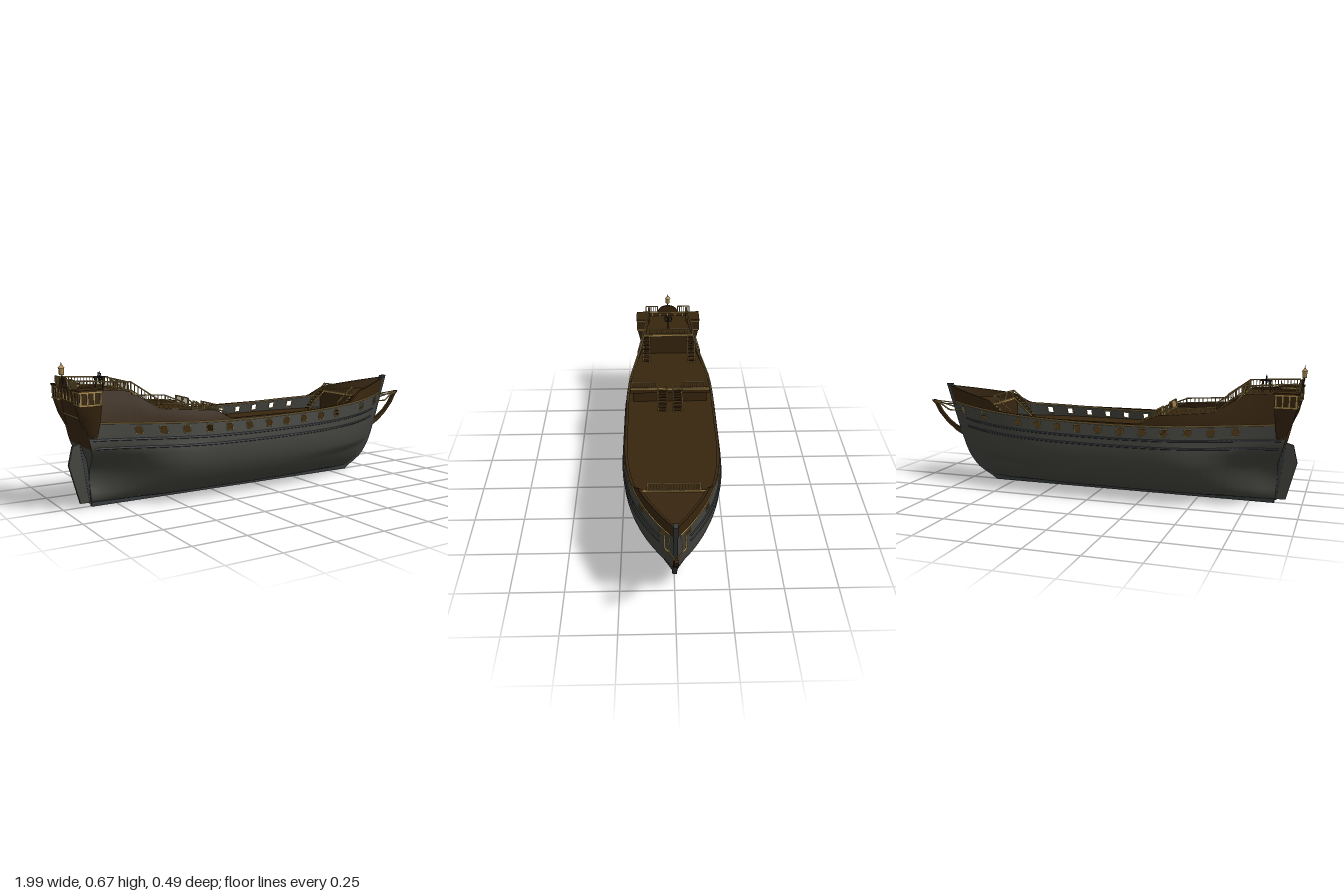
import * as THREE from 'three';

const mat = (name, color) => new THREE.MeshStandardMaterial({ name, color, side: THREE.DoubleSide });
const V = (x, y, z) => new THREE.Vector3(x, y, z);
const { lerp, clamp, smoothstep } = THREE.MathUtils;

// Value of a table [[x, value], ...] at x: straight, or smooth with Hermite slopes.
function table(pts, x, smooth = true) {
  const n = pts.length - 1;
  if (x <= pts[0][0]) return pts[0][1];
  if (x >= pts[n][0]) return pts[n][1];
  let i = 0;
  while (x > pts[i + 1][0]) i++;
  const [x0, a] = pts[i], [x1, b] = pts[i + 1], h = x1 - x0, s = (x - x0) / h;
  if (!smooth) return lerp(a, b, s);
  const slope = k => {
    const p = pts[Math.max(0, k - 1)], q = pts[Math.min(n, k + 1)];
    return (q[1] - p[1]) / (q[0] - p[0]);
  };
  const s2 = s * s, s3 = s2 * s;
  return (2 * s3 - 3 * s2 + 1) * a + (s3 - 2 * s2 + s) * h * slope(i)
    + (3 * s2 - 2 * s3) * b + (s3 - s2) * h * slope(i + 1);
}

// Hull lines: end profiles, midship section, stern taper, bulwark top
const STEM = [[0, .6], [.02, .63], [.06, .7], [.1, .738], [.15, .77], [.25, .808], [.35, .84], [.42, .862], [.51, .89]];
const STERN = [[0, -.875], [.2, -.885], [.28, -.91], [.58, -.978]];
const MID = [[.02, .04], [.03, .085], [.05, .13], [.08, .17], [.12, .203], [.16, .225], [.2, .238], [.25, .243],
  [.3, .24], [.35, .233], [.41, .224], [.46, .212], [.5, .2], [.58, .178]];
const TAPER = [[.02, .25], [.1, .07], [.18, .12], [.23, .36], [.27, .55], [.32, .61], [.6, .62]];
const TOP = [[-1, .555], [-.72, .535], [-.6, .45], [-.38, .432], [-.34, .43], [-.26, .385], [.48, .385], [.57, .45], [.9, .506]];
const PORTS = [-.7, -.59, -.485, -.375, -.27, -.16, -.05, .055, .16, .27, .38, .6, .77];
const SHEER = .375;

const tAt = (x, y) => clamp((x - table(STERN, y)) / (table(STEM, y) - table(STERN, y)), 0, 1);
function half(t, y) {
  const f = t > .55 ? 1 - Math.pow((t - .55) / .45, y < .15 ? 2.3 : 2.8) : 1;
  const s = smoothstep((.35 - t) / .35, 0, 1), k = clamp((.3 - y) / .1, 0, 1);
  return Math.max(.007, table(MID, y) * f * (1 - (1 - table(TAPER, y)) * Math.pow(s, 1 + k)));
}
const halfAt = (x, y) => half(tAt(x, y), y);
const levelY = (t, v) => v + .042 * Math.pow(Math.abs(t - .45) / .55, 1.6) * (v / .38) ** 2;
const skin = (t, y, side, out = 0) =>
  V(lerp(table(STERN, y), table(STEM, y), t), y, side * (half(t, y) + out));
const topY = t => table(TOP, -.95 + 1.82 * t, false);

// Surface through rows of points; skip(row, column) leaves openings.
function grid(rows, skip = () => false) {
  const g = new THREE.BufferGeometry(), n = rows[0].length, idx = [];
  g.setFromPoints(rows.flat());
  for (let r = 0; r < rows.length - 1; r++) for (let c = 0; c < n - 1; c++) {
    if (skip(r, c)) continue;
    const a = r * n + c, b = a + n;
    idx.push(a, a + 1, b, a + 1, b + 1, b);
  }
  g.setIndex(idx);
  g.computeVertexNormals();
  return g;
}

export function createModel() {
  const ship = new THREE.Group();
  const hullGrey = mat('hullGrey', 0x44443f), slate = mat('slate', 0x363a3c), wood = mat('darkWood', 0x38260f);
  const gold = mat('gold', 0xa88a4c), iron = mat('iron', 0x1c1a18);

  const add = (name, geo, m, x = 0, y = 0, z = 0) => {
    const o = new THREE.Mesh(geo, m);
    o.name = name;
    o.position.set(x, y, z);
    ship.add(o);
    return o;
  };
  const box = (name, w, h, d, m, x, y, z) => add(name, new THREE.BoxGeometry(w, h, d), m, x, y, z);
  const rod = (name, a, b, r, m, sides = 5) => {
    const d = b.clone().sub(a), o = add(name, new THREE.CylinderGeometry(r, r, d.length(), sides), m);
    o.position.copy(a).lerp(b, .5);
    o.quaternion.setFromUnitVectors(V(0, 1, 0), d.normalize());
    return o;
  };
  const tube = (name, pts, r, m, seg = 80) =>
    add(name, new THREE.TubeGeometry(new THREE.CatmullRomCurve3(pts), seg, r, 6), m);
  const plate = (name, pts, depth, m) => {
    const s = new THREE.Shape(pts.map(p => new THREE.Vector2(...p)));
    return add(name, new THREE.ExtrudeGeometry(s, { depth, bevelEnabled: false }), m, 0, 0, -depth / 2);
  };
  // Balustrade between two foot points
  const railing = (name, a, b, h, n) => {
    const up = V(0, h, 0);
    rod(name + 'Top', a.clone().add(up), b.clone().add(up), .0035, gold);
    rod(name + 'Foot', a, b, .0025, gold);
    for (let i = 0; i <= n; i++) {
      const p = a.clone().lerp(b, i / n);
      rod(name + 'Baluster', p, p.clone().add(up), i % n ? .002 : .0035, gold);
    }
  };

  // Columns of the hull, with extra ones at the gun port edges
  const portT = PORTS.map(x => [tAt(x - .015, .36), tAt(x + .015, .36)]);
  const cols = [...Array.from({ length: 101 }, (_, i) => i / 100), ...portT.flat()].sort((a, b) => a - b);
  const inPort = c => portT.some(([a, b]) => (cols[c] + cols[c + 1]) / 2 > a && (cols[c] + cols[c + 1]) / 2 < b);
  const levels = [.02, .025, .035, .05, .065, .08, .1, .12, .14, .16, .18, .2, .22, .24, .26, .28, .3, .332, .362, SHEER];
  const portRow = levels.indexOf(.332) + 1;

  for (const s of [1, -1]) {
    // Planked hull with open ports, and the wooden bulwark above it
    const rows = levels.map(v => cols.map(t => skin(t, levelY(t, v), s)));
    rows.unshift(rows[0].map(p => V(p.x, p.y, 0)));
    add('hullSide', grid(rows, (r, c) => r === portRow && inPort(c)), hullGrey);
    const edge = (t, k) => lerp(levelY(t, SHEER), Math.max(topY(t), levelY(t, SHEER) + .004), k);
    add('bulwark', grid([0, .33, .67, 1].map(k => cols.map(t => skin(t, edge(t, k), s)))), wood);
    add('bulwarkCap', grid([.004, -.01].map(o => cols.map(t => skin(t, edge(t, 1) + .001, s, o)))), wood);

    // Wales and gilded sheer rail
    const along = (t0, t1, v, o) => Array.from({ length: 41 }, (_, i) => {
      const t = lerp(t0, t1, i / 40);
      return skin(t, levelY(t, v), s, o);
    });
    tube('wale', along(.01, .95, .275, 0), .005, slate);
    tube('wale', along(.01, .95, .31, 0), .005, slate);
    tube('sheerRail', along(0, .985, SHEER, .001), .0035, gold);

    // Port frames
    for (const [a, b] of portT) {
      const q = [[a, .332], [b, .332], [b, .362], [a, .362]].map(([t, v]) => skin(t, levelY(t, v), s));
      q.forEach((p, i) => rod('portFrame', p, q[(i + 1) % 4], .0028, gold, 4));
    }

    // Side railings
    const at = (x, y, o = -.004) => V(x, y, s * (halfAt(x, y) + o));
    railing('poopRail', at(-.96, .552), at(-.72, .538), .036, 16);
    railing('poopStairRail', at(-.72, .538), at(-.605, .455), .036, 8);
    railing('quarterRail', at(-.605, .452), at(-.385, .435), .022, 10);
    railing('waistStairRail', at(-.385, .435), at(-.27, .388), .02, 7);
    railing('foreStairRail', V(.46, .355, s * .118), V(.56, .432, s * .118), .04, 7);
    railing('sternRail', V(-.972, .553, s * .06), V(-.972, .553, s * .128), .038, 6);

    // Quarter gallery: gilded window box on a tapering bracket
    const gz = s * .145;
    box('galleryBox', .1, .06, .07, wood, -.922, .517, gz);
    box('galleryRoof', .112, .008, .08, wood, -.922, .55, gz);
    for (const y of [.488, .543]) box('galleryMoulding', .106, .006, .077, gold, -.922, y, gz);
    for (let i = 0; i < 4; i++) box('galleryMullion', .006, .052, .004, gold, -.967 + i * .03, .516, gz + s * .036);
    for (let i = 0; i < 3; i++) box('galleryEndMullion', .004, .052, .006, gold, -.973, .516, gz + s * (i * .03 - .03));
    add('galleryBracket', grid([[.488, .05, .035, -.922], [.42, .04, .026, -.915], [.34, .018, .012, -.9], [.3, .002, .002, -.898]]
      .map(([y, w, d, x]) => [[-1, -1], [1, -1], [1, 1], [-1, 1], [-1, -1]]
        .map(([i, j]) => V(x + i * w, y, s * (.145 - (.488 - y) * .08) + j * d)))), wood);

    // Curved head rails running to the beak
    tube('headRail', [at(.79, .375, .002), V(.86, .372, s * .045), V(.92, .392, s * .02), V(.975, .408, s * .006)], .004, gold, 24);
    tube('upperHeadRail', [at(.83, .405, .002), V(.9, .402, s * .03), V(.975, .412, s * .006)], .003, gold, 20);
  }

  // Decks and bulkheads
  const deck = (name, x0, x1, y0, y1) => add(name, grid([1, -1].map(s => Array.from({ length: 31 }, (_, i) => {
    const x = lerp(x0, x1, i / 30), y = lerp(y0, y1, i / 30);
    return V(x, y, s * (halfAt(x, y) - .002));
  }))), wood);
  deck('mainDeck', -.9, .82, .325, .328);
  deck('quarterDeck', -.93, -.33, .418, .408);
  deck('poopDeck', -.968, -.72, .532, .528);
  deck('foreDeck', .56, .865, .425, .44);
  const bulkhead = (x, y0, y1) => {
    const w = 2 * halfAt(x, y1) - .01;
    box('bulkhead', .008, y1 - y0, w, wood, x, (y0 + y1) / 2, 0);
    box('bulkheadMoulding', .012, .007, w, gold, x, y1, 0);
  };
  bulkhead(-.33, .385, .41);
  box('cabinWall', .008, .06, .4, wood, -.34, .357, 0);
  bulkhead(-.72, .415, .53);
  bulkhead(.56, .328, .426);

  // Cross railings, open where the stairs arrive
  railing('poopFrontRail', V(-.72, .534, -.105), V(-.72, .534, .105), .036, 16);
  for (const s of [1, -1]) {
    railing('quarterFrontRail', V(-.33, .412, s * .065), V(-.33, .412, s * .205), .04, 12);
    railing('quarterStairRail', V(-.33, .405, s * .065), V(-.235, .33, s * .065), .04, 6);
    railing('quarterStairRail', V(-.33, .405, s * .016), V(-.235, .33, s * .016), .04, 6);
  }
  railing('foreFrontRail', V(.56, .43, -.115), V(.56, .43, .115), .04, 18);

  // Stairs
  const stairs = (x0, y0, x1, y1, z, w) => {
    const n = 7;
    for (let i = 0; i < n; i++) {
      const k = (i + .5) / n;
      box('stairTread', Math.abs(x1 - x0) / n, .005, w, wood, lerp(x0, x1, k), lerp(y0, y1, k), z);
    }
    for (const d of [-w / 2, w / 2]) rod('stairString', V(x0, y0, z + d), V(x1, y1, z + d), .004, gold, 4);
  };
  for (const s of [1, -1]) {
    stairs(-.23, .33, -.33, .408, s * .04, .045);
    stairs(-.61, .415, -.72, .53, s * .128, .036);
    stairs(.45, .33, .56, .428, s * .138, .036);
  }

  // Stern: lower tuck, wooden transom, gilded bands and arched crest
  const sternRows = (y0, y1) => grid(Array.from({ length: 13 }, (_, i) => {
    const y = lerp(y0, y1, i / 12);
    return [skin(0, y, 1), skin(0, y, -1)];
  }));
  add('sternTuck', sternRows(.02, .285), hullGrey);
  add('transom', sternRows(.285, .557), wood);
  for (const y of [.42, .49, .55]) rod('transomBand', skin(0, y, 1), skin(0, y, -1), .004, gold);
  for (let i = -2; i <= 2; i++) box('transomMullion', .006, .055, .006, gold, table(STERN, .52) - .002, .52, i * .045);
  const crest = add('sternCrest', new THREE.CylinderGeometry(.058, .058, .012, 32, 1, false, 0, Math.PI), wood, -.974, .552, 0);
  crest.rotation.set(0, 0, Math.PI / 2);
  crest.scale.x = .75;
  crest.geometry.rotateY(Math.PI / -2).rotateY(Math.PI / 2);

  // Stern lantern
  rod('lanternBracket', V(-.975, .55, 0), V(-.985, .605, 0), .004, iron);
  add('lanternBody', new THREE.CylinderGeometry(.013, .011, .03, 6), gold, -.985, .622, 0);
  add('lanternRoof', new THREE.ConeGeometry(.016, .018, 6), gold, -.985, .646, 0);
  add('lanternSpire', new THREE.ConeGeometry(.003, .016, 6), gold, -.985, .658, 0);

  // Steering wheel on its stand
  for (const x of [-.83, -.795]) box('wheelPost', .008, .06, .012, wood, x, .56, 0);
  rod('wheelAxle', V(-.84, .588, 0), V(-.785, .588, 0), .004, iron);
  add('wheelRim', new THREE.TorusGeometry(.02, .0022, 6, 24), iron, -.812, .588, 0).rotation.y = Math.PI / 2;
  for (let i = 0; i < 4; i++) {
    const a = i * Math.PI / 4, d = V(0, Math.cos(a) * .028, Math.sin(a) * .028), c = V(-.812, .588, 0);
    rod('wheelSpoke', c.clone().sub(d), c.clone().add(d), .0016, iron);
  }

  // Backbone: keel, stem, sternpost, rudder, beak
  box('keel', 1.48, .024, .02, slate, -.13, .012, 0);
  const ys = Array.from({ length: 25 }, (_, i) => i * .51 / 24);
  plate('stem', [...ys.map(y => [table(STEM, y) + .006, y]), ...ys.reverse().map(y => [table(STEM, y) - .025, y])], .02, slate);
  plate('sternpost', [[-.855, .015], [-.88, .015], [-.918, .3], [-.89, .3]], .02, slate);
  plate('rudder', [[-.88, .02], [-.922, .02], [-.97, .2], [-.95, .285], [-.916, .295]], .016, hullGrey);
  const beak = [[.795, .225], [.85, .255], [.905, .3], [.95, .35], [.975, .395], [.995, .415], [.978, .417], [.96, .4],
    [.93, .352], [.89, .31], [.85, .282], [.808, .262]];
  plate('beak', beak, .018, wood);
  return ship;
}
